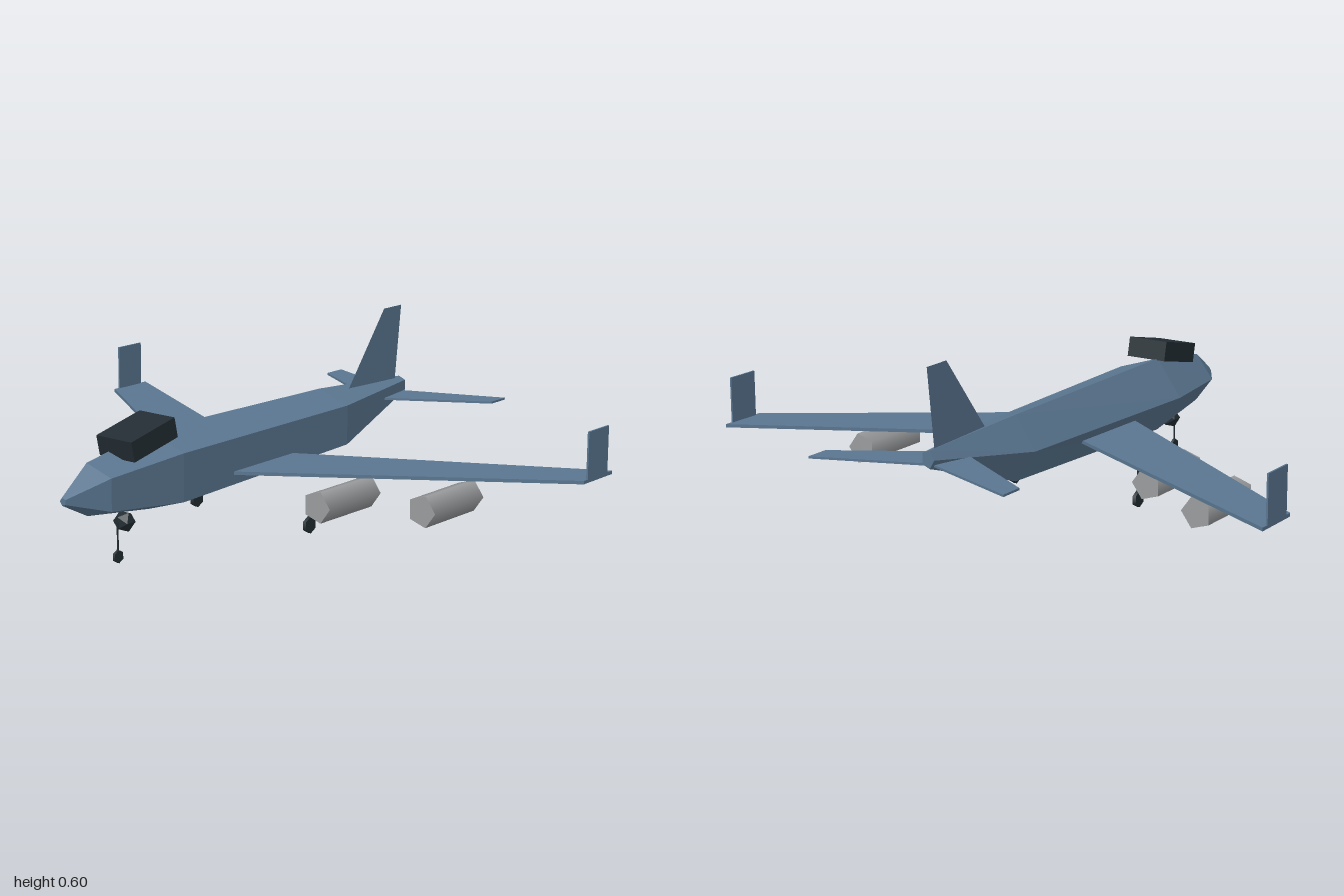
import * as THREE from 'three';

const paint = (name, color, extra = {}) => {
  const m = new THREE.MeshStandardMaterial({ color, ...extra });
  m.name = name;
  return m;
};

// Pentagonal fuselage lofted through stations [z, centreY, radiusX, radiusY]
function fuselageGeometry(stations) {
  const n = 5, pos = [], index = [];
  for (const [z, cy, rx, ry] of stations) {
    for (let j = 0; j < n; j++) {
      const a = Math.PI + (j / n) * Math.PI * 2;
      pos.push(rx * Math.cos(a), cy + ry * Math.sin(a), z);
    }
  }
  const last = stations.length - 1;
  for (let i = 0; i < last; i++) {
    for (let j = 0; j < n; j++) {
      const a = i * n + j, b = i * n + (j + 1) % n, c = a + n, d = b + n;
      index.push(a, c, b, b, c, d);
    }
  }
  // nose and tail caps
  for (let j = 1; j < n - 1; j++) {
    index.push(0, j, j + 1, last * n, last * n + j + 1, last * n + j);
  }
  const g = new THREE.BufferGeometry();
  g.setAttribute('position', new THREE.Float32BufferAttribute(pos, 3));
  g.setIndex(index);
  const flat = g.toNonIndexed();
  flat.computeVertexNormals();
  return flat;
}

// Thin horizontal slab from an [x, z] outline, centred on y
function slabGeometry(outline, y, thickness) {
  const shape = new THREE.Shape(outline.map(([x, z]) => new THREE.Vector2(x, -z)));
  return new THREE.ExtrudeGeometry(shape, { depth: thickness, bevelEnabled: false })
    .rotateX(-Math.PI / 2)
    .translate(0, y - thickness / 2, 0);
}

export function createModel() {
  const model = new THREE.Group();
  model.name = 'airplane';

  const blue = paint('blue', 0x5a7690);
  const blueSheet = paint('blueSheet', 0x5a7690, { side: THREE.DoubleSide });
  const grey = paint('grey', 0x999b9d);
  const dark = paint('dark', 0x222d33);

  const add = (name, geometry, material, x = 0, y = 0, z = 0) => {
    const mesh = new THREE.Mesh(geometry, material);
    mesh.name = name;
    mesh.position.set(x, y, z);
    model.add(mesh);
    return mesh;
  };

  add('fuselage', fuselageGeometry([
    [0.89, 0.243, 0.013, 0.013],
    [0.76, 0.249, 0.091, 0.087],
    [0.475, 0.25, 0.131, 0.131],
    [-0.36, 0.258, 0.106, 0.113],
    [-0.77, 0.316, 0.024, 0.03],
  ]), blue);

  // Tilted cockpit block
  add('cockpit', new THREE.BoxGeometry(0.145, 0.066, 0.197), dark, 0, 0.382, 0.568).rotation.x = 0.217;

  // Vertical fin, a single sheet in the centre plane (shape x = -z)
  const fin = new THREE.Shape([[0.455, 0.32], [0.67, 0.597], [0.767, 0.597], [0.734, 0.32]]
    .map(([x, y]) => new THREE.Vector2(x, y)));
  add('fin', new THREE.ShapeGeometry(fin).rotateY(Math.PI / 2), blueSheet);

  // Swept wings, winglets, tailplanes, engines and main gear, mirrored
  const engineGeo = new THREE.CylinderGeometry(0.053, 0.053, 0.26, 5)
    .rotateY(Math.PI / 2).rotateX(Math.PI / 2);
  const wheelGeo = (r, w) => new THREE.CylinderGeometry(r, r, w, 6).rotateZ(Math.PI / 2).rotateX(Math.PI / 2);

  for (const [side, s] of [['left', 1], ['right', -1]]) {
    const wing = [[0, 0.303], [1, -0.375], [1, -0.54], [0, -0.018]];
    const tail = [[0, -0.596], [0.356, -0.81], [0.356, -0.89], [0, -0.752]];
    const mirror = (pts) => pts.map(([x, z]) => [x * s, z]);
    add(side + 'Wing', slabGeometry(mirror(wing), 0.215, 0.011), blue);
    add(side + 'Winglet', new THREE.BoxGeometry(0.006, 0.16, 0.114), blue, s * 0.997, 0.292, -0.454);
    add(side + 'Tailplane', slabGeometry(mirror(tail), 0.295, 0.007), blue);
    add(side + 'InnerEngine', engineGeo, grey, s * 0.359, 0.132, 0.014);
    add(side + 'OuterEngine', engineGeo, grey, s * 0.637, 0.132, -0.155);
    add(side + 'MainStrut', new THREE.CylinderGeometry(0.004, 0.004, 0.1, 6), dark, s * 0.24, 0.078, 0.03);
    add(side + 'MainWheel', wheelGeo(0.028, 0.012), dark, s * 0.24, 0.028, 0.03);
  }

  // Nose gear
  add('noseGearHousing', new THREE.IcosahedronGeometry(0.035, 0), dark, 0, 0.127, 0.63);
  add('noseStrut', new THREE.CylinderGeometry(0.003, 0.003, 0.11, 6), dark, 0, 0.075, 0.66);
  add('noseWheel', wheelGeo(0.021, 0.009), dark, 0, 0.022, 0.66);

  return model;
}
